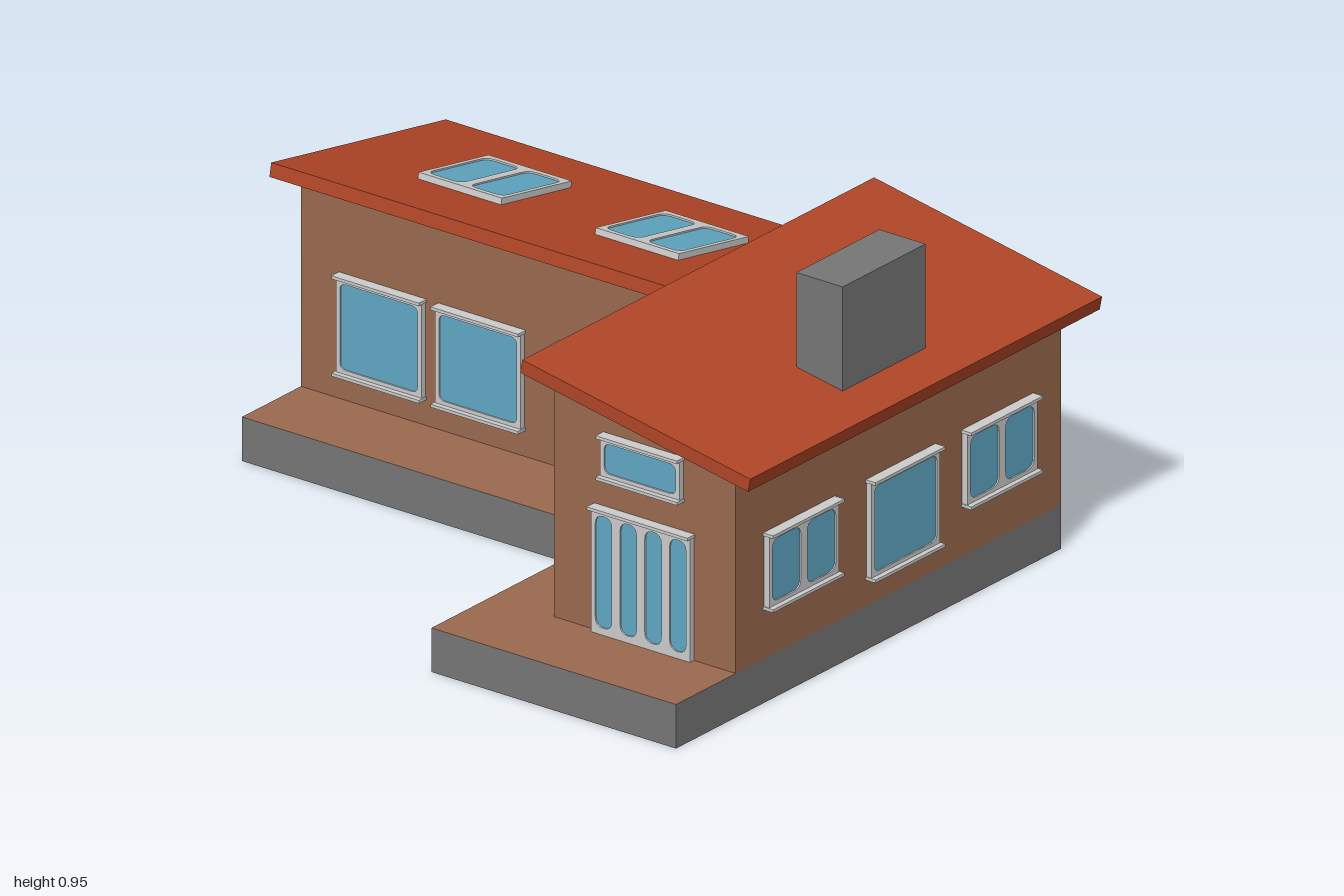
import * as THREE from 'three';

const mat = (name, color) => {
  const m = new THREE.MeshStandardMaterial({ color, side: THREE.DoubleSide });
  m.name = name;
  return m;
};

export function createModel() {
  const house = new THREE.Group();
  house.name = 'house';
  const brown = mat('brown wall', 0x9a694e);
  const grey = mat('grey stone', 0x767676);
  const red = mat('red roof', 0xb04526);
  const pale = mat('pale frame', 0xcbcccb);
  const blue = mat('blue glass', 0x60a8c4);

  const add = (name, geometry, material, parent = house) => {
    const m = new THREE.Mesh(geometry, material);
    m.name = name;
    parent.add(m);
    return m;
  };

  const box = (name, x0, x1, y0, y1, z0, z1, material, parent) => {
    const g = new THREE.BoxGeometry(x1 - x0, y1 - y0, z1 - z0);
    g.translate((x0 + x1) / 2, (y0 + y1) / 2, (z0 + z1) / 2);
    return add(name, g, material, parent);
  };

  // Upright panels along a path of [x, z, top] points, from a base height
  const panels = (name, path, base, material) => {
    const pos = [];
    for (let i = 0; i < path.length - 1; i++) {
      const [ax, az, at] = path[i], [bx, bz, bt] = path[i + 1];
      const a = [ax, base, az], b = [bx, base, bz], c = [bx, bt, bz], d = [ax, at, az];
      pos.push(...a, ...b, ...c, ...a, ...c, ...d);
    }
    const g = new THREE.BufferGeometry();
    g.setAttribute('position', new THREE.Float32BufferAttribute(pos, 3));
    g.computeVertexNormals();
    return add(name, g, material);
  };

  const L = -0.945, R = 0.92, J = 0.37, BACK = -0.625, MID = -0.065, FRONT = 0.642;
  const BASE = 0.115;

  // Foundation skirt, open underneath
  panels('foundation', [[L, BACK], [L, 0.165], [0.18, 0.165], [0.18, 0.875], [R, 0.875],
    [R, BACK], [L, BACK]].map(([x, z]) => [x, z, BASE]), 0, grey);

  // Terrace in front of both wings
  const deck = new THREE.Shape([[L, MID], [J, MID], [J, FRONT], [R, FRONT], [R, 0.875],
    [0.18, 0.875], [0.18, 0.165], [L, 0.165]].map(([x, z]) => new THREE.Vector2(x, -z)));
  const deckGeo = new THREE.ShapeGeometry(deck);
  deckGeo.rotateX(-Math.PI / 2);
  deckGeo.translate(0, BASE, 0);
  add('terrace', deckGeo, brown);

  // Walls with sloping tops
  panels('lowWingWalls', [[J, BACK, 0.558], [L, BACK, 0.558], [L, MID, 0.656], [J, MID, 0.656]], BASE, brown);
  panels('tallWingWalls', [[J, MID, 0.738], [J, FRONT, 0.738], [R, FRONT, 0.638],
    [R, BACK, 0.638], [J, BACK, 0.738]], BASE, brown);
  panels('upperSideWall', [[J, BACK, 0.738], [J, MID, 0.738]], 0.56, brown);

  // Mono-pitch roofs: section extruded along its length
  const slab = (name, points, length) => add(name, new THREE.ExtrudeGeometry(
    new THREE.Shape(points.map(p => new THREE.Vector2(...p))),
    { depth: length, bevelEnabled: false }), red);
  slab('tallRoof', [[0.31, 0.785], [0.303, 0.75], [0.993, 0.625], [1.0, 0.66]], 1.37).position.z = -0.682;
  const low = slab('lowRoof', [[0.7, 0.576], [0.02, 0.7], [0.013, 0.665], [0.693, 0.54]], 1.37);
  low.rotation.y = Math.PI / 2;
  low.position.x = -1;

  // Chimney
  box('chimney', 0.743, 0.883, 0.64, 0.953, -0.145, 0.178, grey);

  // Back steps
  [[-0.705, BASE], [-0.79, 0.08], [-0.875, 0.04]].forEach(([z, h], i) =>
    box('step' + (i + 1), -0.045, 0.31, 0, h, z, z + (i ? 0.086 : 0.08), brown));

  // Closed outline with rounded corners
  const rounded = (Type, x0, x1, y0, y1, r) => {
    const s = new Type();
    s.moveTo(x0 + r, y0);
    s.lineTo(x1 - r, y0);
    s.quadraticCurveTo(x1, y0, x1, y0 + r);
    s.lineTo(x1, y1 - r);
    s.quadraticCurveTo(x1, y1, x1 - r, y1);
    s.lineTo(x0 + r, y1);
    s.quadraticCurveTo(x0, y1, x0, y1 - r);
    s.lineTo(x0, y0 + r);
    s.quadraticCurveTo(x0, y0, x0 + r, y0);
    return s;
  };

  // Framed window centred on its own origin, facing +z
  const window_ = (name, w, h, panes, lips = 2) => {
    const g = new THREE.Group();
    g.name = name;
    const frame = new THREE.Shape([[-w / 2, -h / 2], [w / 2, -h / 2], [w / 2, h / 2], [-w / 2, h / 2]]
      .map(p => new THREE.Vector2(...p)));
    const gap = panes > 1 ? 0.025 : 0, side = 0.012;
    const pw = (w - 2 * side - gap * (panes - 1)) / panes;
    const r = panes > 1 ? 0.025 : 0.018;
    for (let i = 0; i < panes; i++) {
      const x = -w / 2 + side + i * (pw + gap);
      const args = [x, x + pw, -h / 2 + 0.018, h / 2 - 0.02, r];
      frame.holes.push(rounded(THREE.Path, ...args));
      const glass = new THREE.ShapeGeometry(rounded(THREE.Shape, ...args), 4);
      glass.translate(0, 0, 0.012);
      add('glass', glass, blue, g);
    }
    const fg = new THREE.ExtrudeGeometry(frame, { depth: 0.018, bevelEnabled: false, curveSegments: 4 });
    fg.translate(0, 0, -0.002);
    add('frame', fg, pale, g);
    if (lips > 0) box('head', -w / 2 - 0.003, w / 2 + 0.003, h / 2 - 0.008, h / 2, 0, 0.03, pale, g);
    if (lips > 1) box('sill', -w / 2 - 0.003, w / 2 + 0.003, -h / 2, -h / 2 + 0.008, 0, 0.03, pale, g);
    house.add(g);
    return g;
  };

  // Place a window on a wall: a0..a1 is its span along x or z
  const walls = {
    lowFront: [0, MID], tallFront: [0, FRONT], back: [Math.PI, BACK],
    right: [Math.PI / 2, R], left: [-Math.PI / 2, L], inner: [-Math.PI / 2, J],
  };
  const place = (name, wall, a0, a1, y0, y1, panes, lips) => {
    const g = window_(name, a1 - a0, y1 - y0, panes, lips);
    const [turn, at] = walls[wall], a = (a0 + a1) / 2;
    g.rotation.y = turn;
    const alongX = turn === 0 || turn === Math.PI;
    g.position.set(alongX ? a : at, (y0 + y1) / 2, alongX ? at : a);
  };

  // Large single-pane windows
  for (const [wall, a0, a1] of [['lowFront', -0.827, -0.568], ['lowFront', -0.527, -0.268],
    ['back', -0.827, -0.568], ['back', -0.527, -0.268], ['right', -0.133, 0.133],
    ['inner', 0.02, 0.275], ['inner', 0.33, 0.59]])
    place('largeWindow', wall, a0, a1, 0.183, 0.445, 1);

  // Two-pane windows
  for (const [wall, a0, a1] of [['right', 0.26, 0.532], ['right', -0.513, -0.24],
    ['left', -0.48, -0.21], ['back', 0.51, 0.78]])
    place('doubleWindow', wall, a0, a1, 0.244, 0.445, 2);

  // High narrow windows
  place('highWindow', 'tallFront', 0.522, 0.762, 0.522, 0.638, 1);
  place('highWindow', 'inner', 0.21, 0.47, 0.525, 0.663, 1);

  // Glazed doors
  place('terraceDoor', 'lowFront', -0.163, 0.29, BASE, 0.445, 4, 1);
  place('frontDoor', 'tallFront', 0.495, 0.794, BASE, 0.445, 4, 1);
  place('backDoor', 'back', 0.02, 0.25, BASE, 0.445, 2, 1);

  // Skylights lying on the low roof
  for (const x of [-0.591, -0.055]) {
    const s = window_('skylight', 0.252, 0.277, 2, 0);
    s.rotation.x = -(Math.PI / 2 + 0.18);
    s.position.set(x, 0.638, -0.363);
  }
  return house;
}
